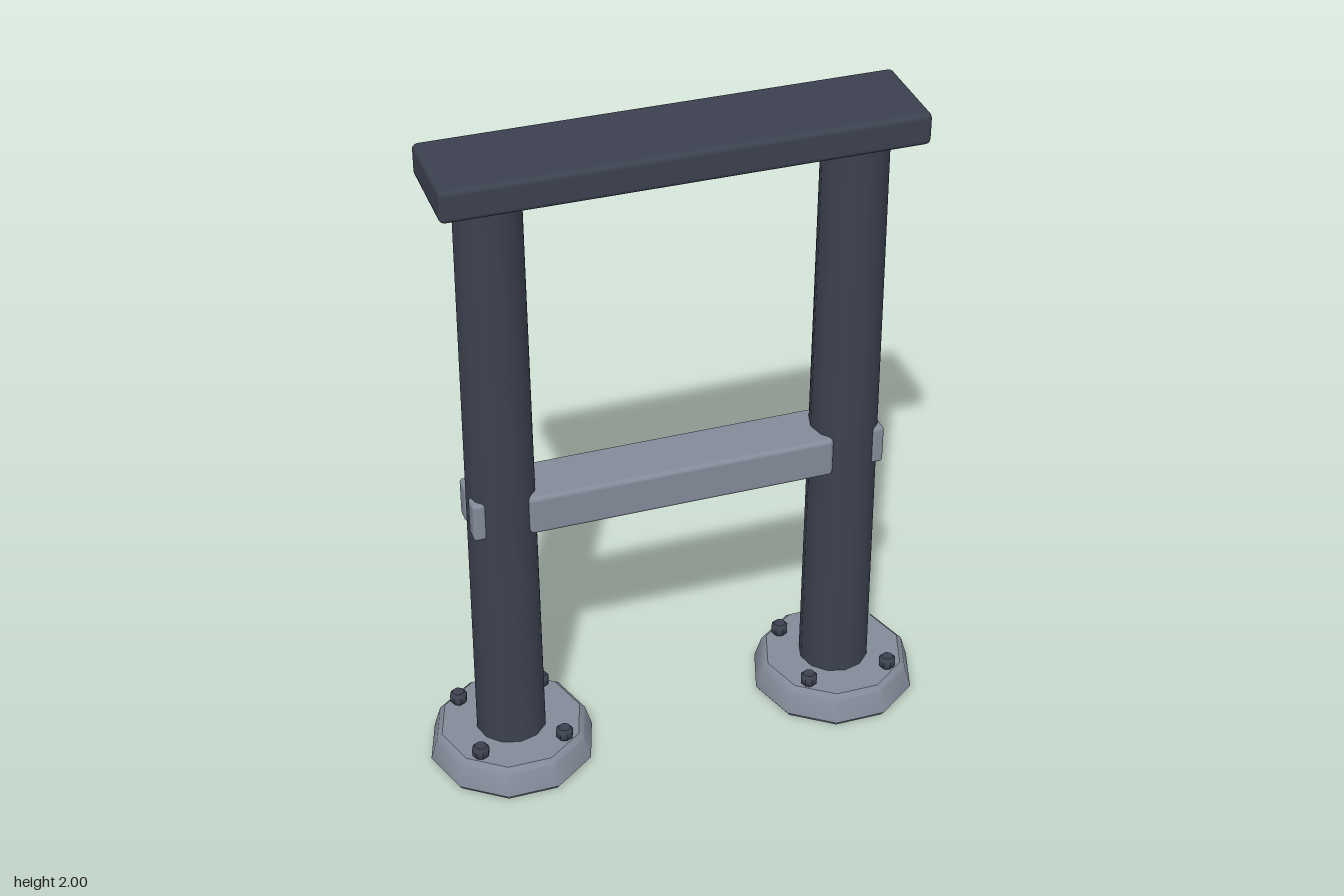
import * as THREE from 'three';
import { toCreasedNormals } from 'three/addons/utils/BufferGeometryUtils.js';
import { RoundedBoxGeometry } from 'three/addons/geometries/RoundedBoxGeometry.js';

function material(name, color) {
  const m = new THREE.MeshStandardMaterial({ color });
  m.name = name;
  return m;
}

// Faceted turned solid from [radius, height] pairs, with a corner on the x axis
function turned(points, sides) {
  const profile = points.map(([r, y]) => new THREE.Vector2(r, y));
  const geometry = new THREE.LatheGeometry(profile, sides);
  geometry.rotateY(Math.PI / 2);
  return toCreasedNormals(geometry, 0.72);
}

export function createModel() {
  const model = new THREE.Group();
  model.name = 'postFrame';
  const dark = material('dark slate', 0x3c414f);
  const steel = material('steel grey', 0x838b99);

  const add = (parent, name, geometry, mat, x, y, z) => {
    const mesh = new THREE.Mesh(geometry, mat);
    mesh.name = name;
    mesh.position.set(x, y, z);
    parent.add(mesh);
  };

  // Shared shapes
  const footShape = turned([[0, 0], [0.238, 0], [0.25, 0.016], [0.229, 0.086], [0.213, 0.1], [0, 0.1]], 10);
  const postShape = turned([[0, 0.006], [0.106, 0.006], [0.095, 1.93], [0, 1.93]], 12);
  const boltShape = turned([[0, 0], [0.019, 0], [0.026, 0.009], [0.026, 0.031], [0.018, 0.04], [0, 0.04]], 8);
  const clipShape = new RoundedBoxGeometry(0.038, 0.12, 0.056, 2, 0.01);

  // Two legs: foot, post, four bolts and two clips on the outer side
  for (const side of [-1, 1]) {
    const leg = new THREE.Group();
    leg.name = side > 0 ? 'leftLeg' : 'rightLeg';
    leg.position.x = side * 0.515;
    add(leg, 'foot', footShape, steel, 0, 0, 0);
    add(leg, 'post', postShape, dark, 0, 0, 0);
    for (const z of [-1, 1]) {
      for (const x of [-1, 1]) add(leg, 'bolt', boltShape, dark, x * 0.128, 0.1, z * 0.128);
      add(leg, 'clip', clipShape, steel, side * 0.081, 0.9, z * 0.048);
    }
    model.add(leg);
  }

  // Cross rail and top beam
  add(model, 'crossRail', new RoundedBoxGeometry(0.91, 0.124, 0.18, 2, 0.014), steel, 0, 0.898, 0);
  add(model, 'topBeam', new RoundedBoxGeometry(1.35, 0.094, 0.29, 2, 0.016), dark, 0, 1.953, 0);
  return model;
}
